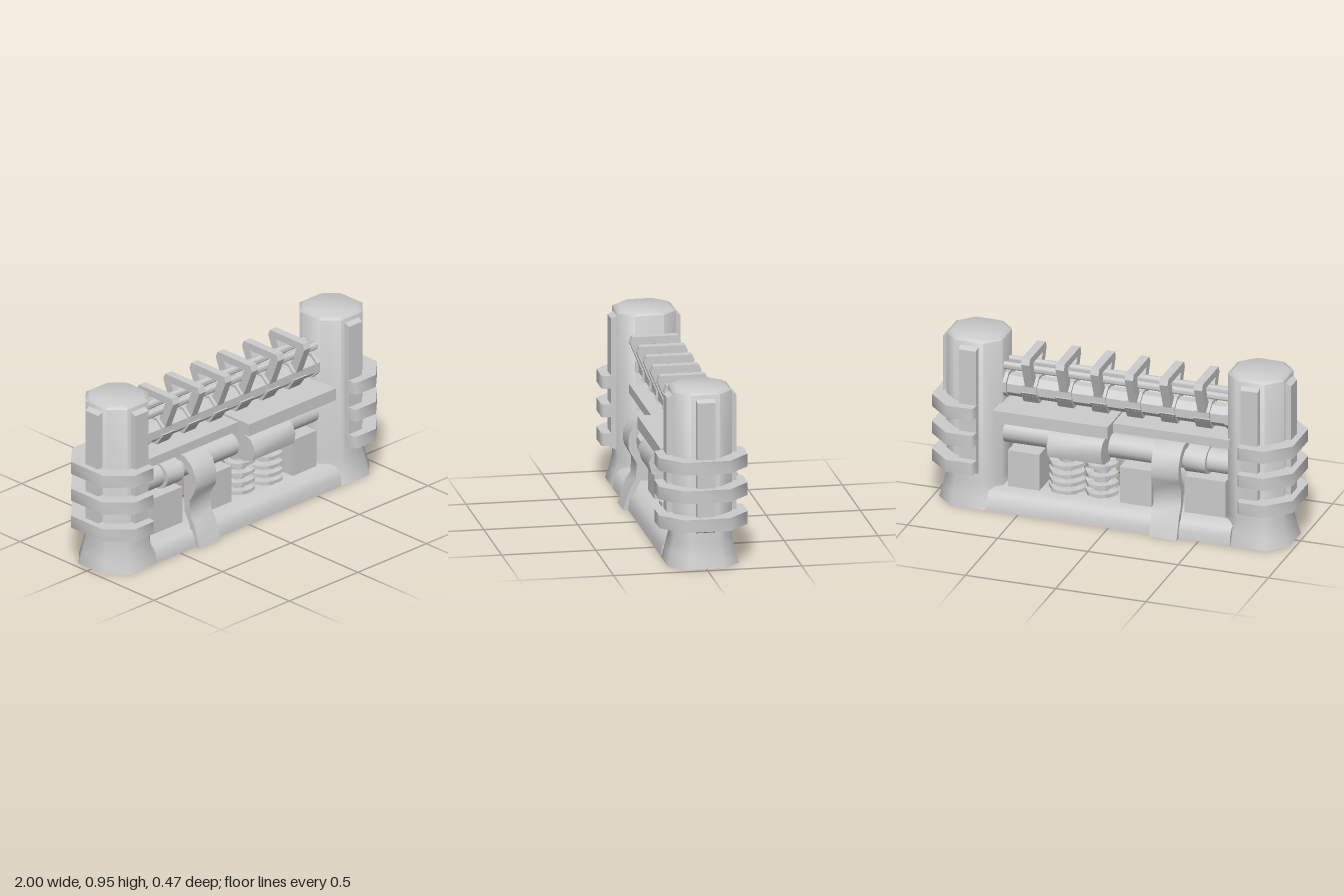
import * as THREE from 'three';
import { toCreasedNormals } from 'three/addons/utils/BufferGeometryUtils.js';

const material = new THREE.MeshStandardMaterial({ color: 0xcccccc });

function add(parent, name, geometry, x = 0, y = 0, z = 0, crease = 0.85) {
  const mesh = new THREE.Mesh(toCreasedNormals(geometry, crease), material);
  mesh.name = name;
  mesh.position.set(x, y, z);
  parent.add(mesh);
  return mesh;
}

function toPoints(list) {
  return list.map(([u, v]) => new THREE.Vector2(u, v));
}

// Closed section from one half [z, y], mirrored over z = 0
function mirrored(half) {
  return [...half, ...half.slice().reverse().map(([z, y]) => [-z, y])];
}

// Section in (z, y) run along x from x0 to x1
function alongX(section, x0, x1, hole) {
  const shape = new THREE.Shape(toPoints(section));
  if (hole) shape.holes.push(new THREE.Path(toPoints(hole)));
  return new THREE.ExtrudeGeometry(shape, { depth: x1 - x0, bevelEnabled: false })
    .rotateY(Math.PI / 2).translate(x0, 0, 0);
}

function rod(radius, length, sides, zScale = 1) {
  return new THREE.CylinderGeometry(radius, radius, length, sides)
    .rotateY(Math.PI / sides).rotateZ(Math.PI / 2).scale(1, 1, zScale);
}

// Octagonal column with flared foot; its four axis-facing sides are wider than the corner sides
function columnGeometry() {
  const k = 1 / Math.cos(Math.PI / 8);
  const profile = [[0, 0], [0.189, 0], [0.172, 0.065], [0.155, 0.143], [0.155, 0.935], [0.13, 0.95], [0, 0.95]];
  const g = new THREE.LatheGeometry(
    profile.map(([r, y]) => new THREE.Vector2(r * k, y)), 8).rotateY(Math.PI / 8);
  const p = g.attributes.position;
  for (let i = 0; i < p.count; i++) {
    const x = p.getX(i), z = p.getZ(i);
    if (Math.abs(x) > Math.abs(z)) p.setZ(i, z * 1.2);
    else p.setX(i, x * 1.2);
  }
  return g;
}

// Raised strip facing +x with sloped ends
function ribGeometry() {
  const g = new THREE.BoxGeometry(0.036, 0.73, 0.102);
  const p = g.attributes.position;
  for (let i = 0; i < p.count; i++) {
    if (p.getX(i) > 0) p.setXYZ(i, p.getX(i), p.getY(i) * 0.955, p.getZ(i) * 0.92);
  }
  return g.translate(0.167, 0.55, 0);
}

// Tower whose outer side faces +x
function createTower() {
  const tower = new THREE.Group();
  add(tower, 'column', columnGeometry(), 0, 0, 0, 1.1);

  for (const turn of [0, Math.PI / 2, -Math.PI / 2]) {
    add(tower, 'columnRib', ribGeometry(), 0, 0, 0, 0.2).rotation.y = turn;
  }

  // C-shaped bands hugging the column, open toward the middle
  const half = [[-0.05, 0.15], [-0.05, 0.222], [-0.037, 0.235], [0.1, 0.235], [0.22, 0.12]];
  const inner = [[0.152, 0.074], [0.074, 0.152]];
  const flip = (list) => list.slice().reverse().map(([x, z]) => [x, -z]);
  const outline = [...half, ...flip(half), ...flip(inner), ...inner];
  for (const y of [0.21, 0.366, 0.521]) {
    const band = new THREE.ExtrudeGeometry(new THREE.Shape(toPoints(outline)),
      { depth: 0.069, bevelEnabled: false }).rotateX(-Math.PI / 2);
    add(tower, 'band', band, 0, y, 0);
  }
  return tower;
}

// Post with a stack of scalloped, wavy discs
function createCoil(radius, heights) {
  const coil = new THREE.Group();
  add(coil, 'coilPost', new THREE.CylinderGeometry(0.042, 0.042, 0.215, 10), 0, 0.2125, 0);
  for (const y of heights) {
    const g = new THREE.CylinderGeometry(radius, radius, 0.02, 24);
    const p = g.attributes.position;
    for (let i = 0; i < p.count; i++) {
      const x = p.getX(i), z = p.getZ(i);
      if (Math.hypot(x, z) < 0.01) continue;
      const wave = Math.cos(Math.atan2(z, x) * 6);
      const s = 0.92 + 0.08 * wave;
      p.setXYZ(i, x * s, p.getY(i) + 0.004 * wave, z * s);
    }
    add(coil, 'coilDisc', g, 0, y, 0);
  }
  return coil;
}

export function createModel() {
  const model = new THREE.Group();
  model.name = 'barrier';

  // End towers
  for (const side of [1, -1]) {
    const tower = createTower();
    tower.name = side > 0 ? 'leftTower' : 'rightTower';
    tower.position.x = 0.78 * side;
    if (side < 0) tower.rotation.y = Math.PI;
    model.add(tower);
  }

  // Base beam with sloped sides
  add(model, 'baseBeam', alongX(
    mirrored([[0.188, 0], [0.182, 0.05], [0.16, 0.088], [0.115, 0.11]]), -0.675, 0.675));

  // Blocks standing on the base
  for (const [x0, x1] of [[-0.615, -0.39], [-0.205, -0.03], [0.415, 0.59]]) {
    add(model, 'block', new THREE.BoxGeometry(x1 - x0, 0.215, 0.175), (x0 + x1) / 2, 0.2075, 0);
  }

  // Coils
  const coils = [[0.1, 0.093, [0.125, 0.175, 0.228, 0.285]], [0.29, 0.103, [0.12, 0.165, 0.212, 0.262]]];
  for (const [x, radius, heights] of coils) {
    const coil = createCoil(radius, heights);
    coil.name = 'coil';
    coil.position.x = x;
    model.add(coil);
  }

  // Main pipe, collar and housing
  add(model, 'mainPipe', rod(0.066, 1.28, 16, 1.1), 0, 0.395, 0);
  add(model, 'pipeCollar', rod(0.077, 0.12, 16, 1.25), -0.445, 0.395, 0);
  add(model, 'pipeHousing', alongX(mirrored([
    [0.12, 0.33], [0.172, 0.352], [0.188, 0.418], [0.16, 0.465], [0.1, 0.485]]), 0.04, 0.34));

  // Curved strap over the pipe, down to the ground on both sides
  const strapOuter = mirrored([[0.215, 0], [0.176, 0.12], [0.147, 0.165], [0.143, 0.25], [0.18, 0.315],
    [0.187, 0.345], [0.184, 0.4], [0.155, 0.46], [0.1, 0.495]]);
  const strapInner = mirrored([[0.17, 0], [0.14, 0.12], [0.105, 0.18], [0.105, 0.26], [0.14, 0.335],
    [0.145, 0.38], [0.12, 0.435], [0.08, 0.46]]);
  add(model, 'strap', alongX([...strapOuter, ...strapInner.reverse()], -0.39, -0.237));

  // Shelves
  add(model, 'narrowShelf', new THREE.BoxGeometry(0.65, 0.05, 0.21), -0.32, 0.54, 0);
  add(model, 'wideShelf', new THREE.BoxGeometry(0.635, 0.068, 0.37), 0.32, 0.542, 0);

  // Upper bar and twin rods
  add(model, 'upperBar', rod(0.062, 1.28, 8, 1.1), 0, 0.66, 0, 0.3);
  for (const z of [-0.042, 0.042]) {
    add(model, 'upperRod', rod(0.021, 1.3, 10), 0, 0.78, z);
  }
  for (const x of [-0.62, 0.62]) {
    add(model, 'barEndPlate', rod(0.075, 0.03, 8, 1.1), x, 0.665, 0, 0.3);
  }

  // Row of clips: flared frame, hub and V-shaped foot
  const frame = mirrored([[0.05, 0.63], [0.135, 0.838], [0.122, 0.87]]);
  const opening = mirrored([[0.016, 0.69], [0.076, 0.83]]);
  const foot = mirrored([[0.035, 0.585], [0.085, 0.655]]);
  for (let i = 0; i < 6; i++) {
    const x = -0.48 + i * 0.1915;
    add(model, 'clipFrame', alongX(frame, -0.023, 0.023, opening), x, 0, 0, 0.3);
    add(model, 'clipHub', rod(0.072, 0.08, 8, 1.1), x, 0.665, 0, 0.3);
    add(model, 'clipFoot', alongX(foot, -0.044, 0.044), x, 0, 0, 0.3);
  }
  return model;
}
